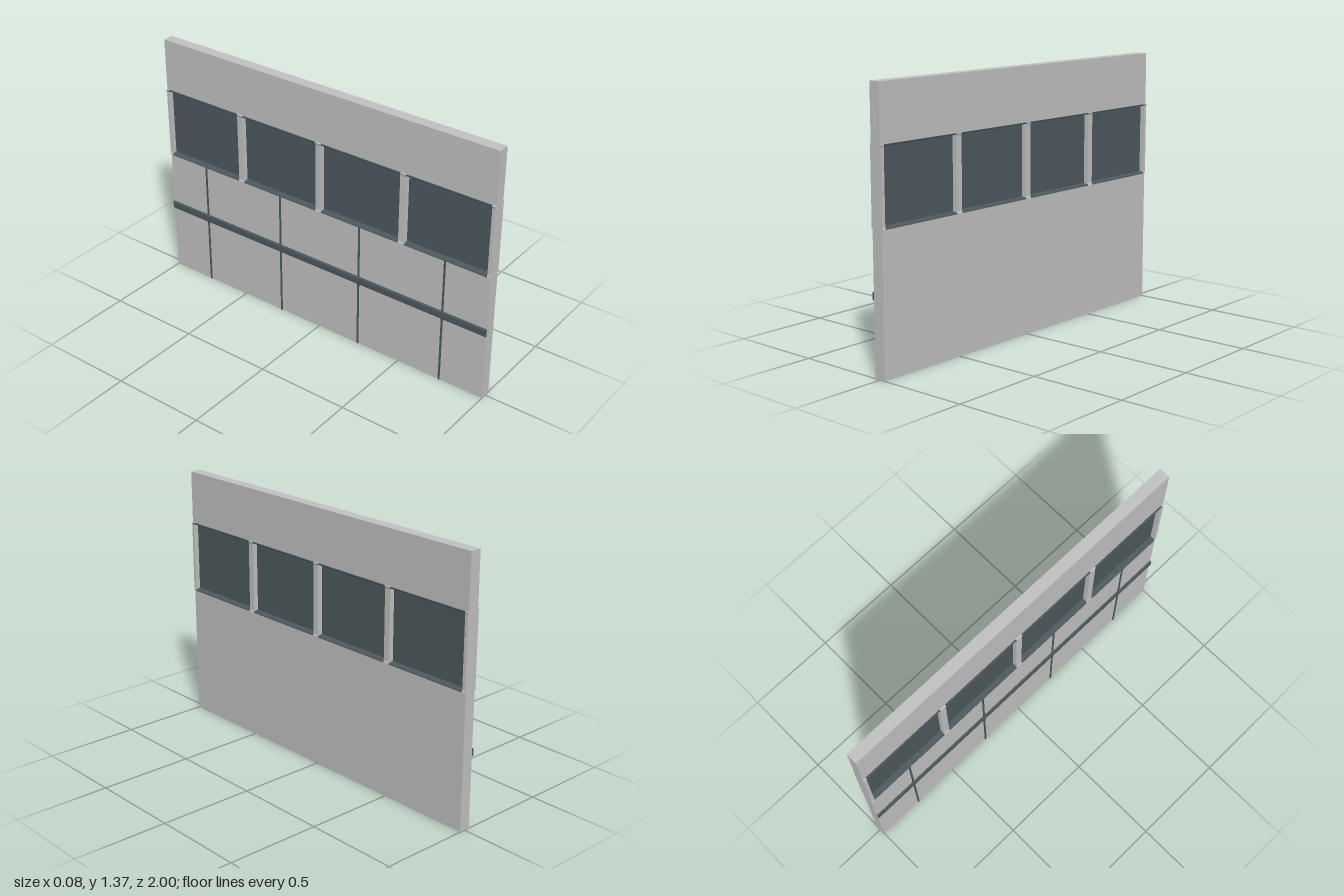
import * as THREE from 'three';

const LENGTH = 2, HEIGHT = 1.37;
const BAND_LOW = 0.705, BAND_HIGH = 1.09; // window band limits
const WALL_X = 0.03; // half thickness of the wall

export function createModel() {
  const group = new THREE.Group();
  const panelGrey = new THREE.MeshStandardMaterial({ color: 0xc0c0c0 });
  panelGrey.name = 'panelGrey';
  const darkSlate = new THREE.MeshStandardMaterial({ color: 0x4c585c });
  darkSlate.name = 'darkSlate';

  function add(name, geometry, material) {
    const mesh = new THREE.Mesh(geometry, material);
    mesh.name = name;
    group.add(mesh);
    return mesh;
  }
  function box(name, x0, x1, y0, y1, z0, z1, material) {
    const mesh = add(name, new THREE.BoxGeometry(x1 - x0, y1 - y0, z1 - z0), material);
    mesh.position.set((x0 + x1) / 2, (y0 + y1) / 2, (z0 + z1) / 2);
  }
  // Mirrors a half profile (listed upwards on +x) and extrudes it along z
  function profile(name, half, z0, z1, material) {
    const mirrored = half.map(([x, y]) => [-x, y]).reverse();
    const shape = new THREE.Shape([...half, ...mirrored].map(([x, y]) => new THREE.Vector2(x, y)));
    const geometry = new THREE.ExtrudeGeometry(shape, { depth: z1 - z0, bevelEnabled: false });
    add(name, geometry, material).position.z = z0;
  }

  // Solid wall below and above the windows
  const end = LENGTH / 2;
  box('lowerWall', -WALL_X, WALL_X, 0, BAND_LOW, -end, end, panelGrey);
  box('upperWall', -WALL_X, WALL_X, BAND_HIGH, HEIGHT, -end, end, panelGrey);

  // Posts between the windows, flared at foot and head
  const postHalf = [
    [0.039, BAND_LOW], [0.035, BAND_LOW + 0.013],
    [0.035, BAND_HIGH - 0.013], [0.039, BAND_HIGH],
  ];
  const w = 0.0175;
  const posts = [-1, -0.5, 0, 0.5, 1].map((z) => [Math.max(z - w, -end), Math.min(z + w, end)]);
  posts.forEach(([z0, z1]) => profile('windowPost', postHalf, z0, z1, panelGrey));

  // Recessed panes with sloping sills and lintels
  const sillHalf = [[0.039, BAND_LOW], [0.037, BAND_LOW + 0.006], [0.009, BAND_LOW + 0.012]];
  const lintelHalf = sillHalf.map(([x, y]) => [x, BAND_LOW + BAND_HIGH - y]).reverse();
  for (let i = 0; i < posts.length - 1; i++) {
    const z0 = posts[i][1], z1 = posts[i + 1][0];
    box('windowPane', -0.01, 0.01, BAND_LOW + 0.005, BAND_HIGH - 0.005, z0, z1, darkSlate);
    profile('windowSill', sillHalf, z0, z1, darkSlate);
    profile('windowLintel', lintelHalf, z0, z1, darkSlate);
  }

  // Panel seams and bumper rail on the -x side only
  for (const z of [-0.75, -0.25, 0.25, 0.75]) {
    box('panelSeam', -0.034, -WALL_X, 0, BAND_LOW, z - 0.005, z + 0.005, darkSlate);
  }
  const rail = new THREE.Shape([
    [-WALL_X, 0.37], [-WALL_X, 0.412], [-0.036, 0.412], [-0.04, 0.406], [-0.04, 0.376], [-0.036, 0.37],
  ].map(([x, y]) => new THREE.Vector2(x, y)));
  add('bumperRail', new THREE.ExtrudeGeometry(rail, { depth: LENGTH, bevelEnabled: false }), darkSlate)
    .position.z = -end;

  return group;
}
